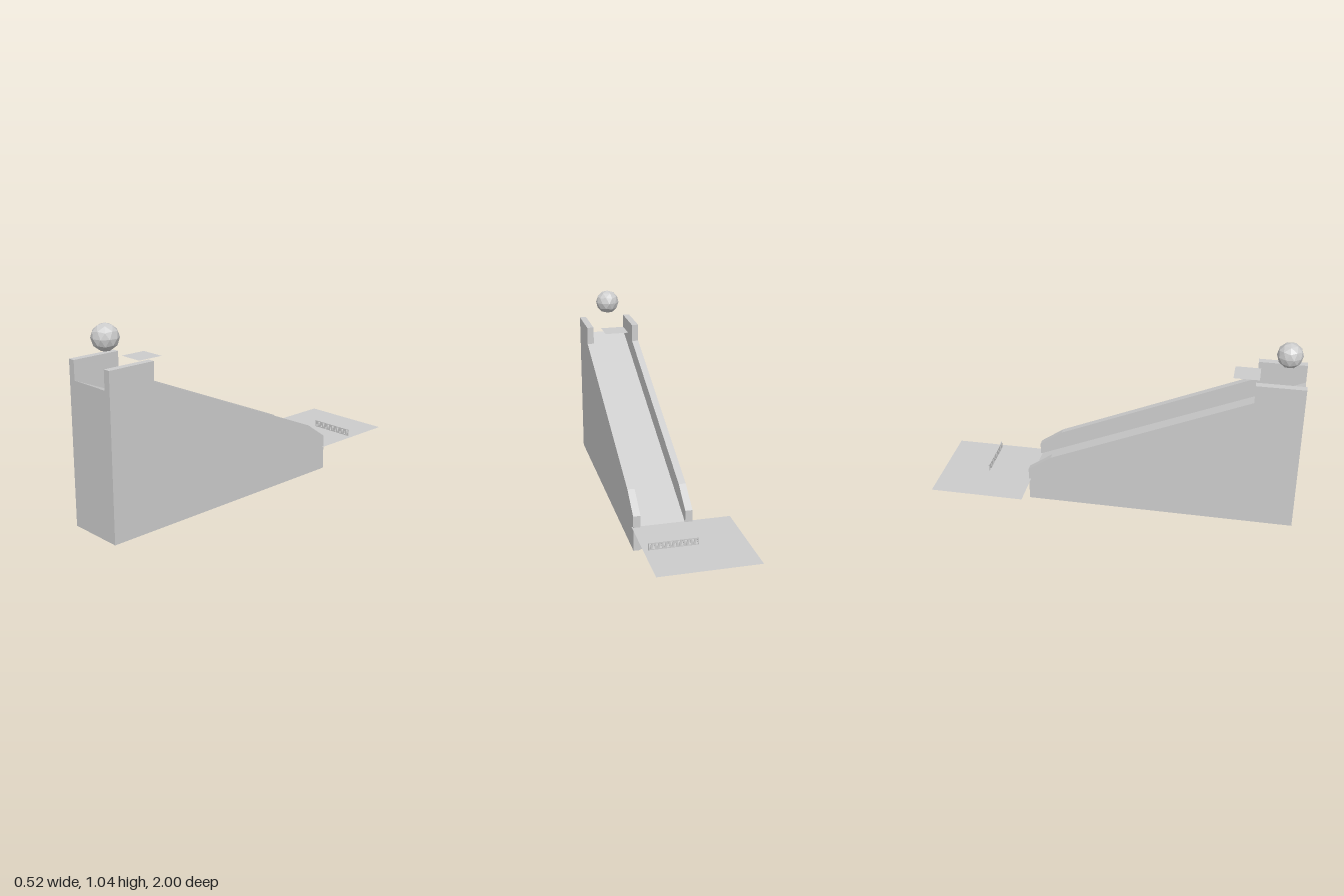
import * as THREE from 'three';

const CENTRE_X = 0.098;

// Extrude a side profile of [z, y] points across x0..x1
function sideProfile(points, x0, x1, material, name) {
  const shape = new THREE.Shape(points.map(([z, y]) => new THREE.Vector2(-z, y)));
  const geometry = new THREE.ExtrudeGeometry(shape, { depth: x1 - x0, bevelEnabled: false });
  geometry.rotateY(Math.PI / 2); // shape x -> -z, depth -> +x
  geometry.translate(x0, 0, 0);
  const mesh = new THREE.Mesh(geometry, material);
  mesh.name = name;
  return mesh;
}

// Flat horizontal sheet
function sheet(x0, x1, z0, z1, y, material, name) {
  const geometry = new THREE.PlaneGeometry(x1 - x0, z1 - z0).rotateX(-Math.PI / 2);
  const mesh = new THREE.Mesh(geometry, material);
  mesh.position.set((x0 + x1) / 2, y, (z0 + z1) / 2);
  mesh.name = name;
  return mesh;
}

export function createModel() {
  const model = new THREE.Group();
  model.name = 'ballRamp';
  const grey = new THREE.MeshStandardMaterial({ color: 0xcccccc, flatShading: true, side: THREE.DoubleSide });
  grey.name = 'lightGrey';

  // Sloping runway between the walls
  model.add(sideProfile([[1, 0], [1, 0.756], [-0.482, 0.131], [-0.482, 0]],
    CENTRE_X - 0.118, CENTRE_X + 0.118, grey, 'runway'));

  // Side walls with a raised block at the start and a bevelled end
  const wall = [[1, 0], [1, 0.856], [0.74, 0.856], [0.74, 0.756], [-0.36, 0.287], [-0.492, 0.195], [-0.492, 0]];
  for (const [name, side] of [['leftWall', 1], ['rightWall', -1]]) {
    const a = CENTRE_X + side * 0.118, b = CENTRE_X + side * 0.156;
    model.add(sideProfile(wall, Math.min(a, b), Math.max(a, b), grey, name));
  }

  // Landing sheet at the low end and a small floating sheet near the start
  model.add(sheet(-0.265, 0.26, -1, -0.48, 0.131, grey, 'landingSheet'));
  model.add(sheet(0.03, 0.166, 0.62, 0.757, 0.844, grey, 'startSheet'));

  // Faceted ball, one corner pointing up
  const ball = new THREE.Mesh(new THREE.IcosahedronGeometry(0.069, 1), grey);
  ball.rotation.z = Math.atan(2 / (1 + Math.sqrt(5)));
  ball.position.set(CENTRE_X, 0.97, 0.9);
  ball.name = 'ball';
  model.add(ball);

  // Thin lattice strip standing on the landing sheet
  const length = 0.255, height = 0.038, bays = 14, rim = 0.005;
  const strip = new THREE.Shape([[0, 0], [length, 0], [length, height], [0, height]]
    .map(([x, y]) => new THREE.Vector2(x, y)));
  const step = length / bays;
  for (let i = 0; i < bays; i++) {
    const x = i * step, up = i % 2 === 0;
    const base = up ? rim : height - rim, tip = up ? height - rim : rim;
    strip.holes.push(new THREE.Path([[x + 0.002, base], [x + step - 0.002, base], [x + step / 2, tip]]
      .map(([px, py]) => new THREE.Vector2(px, py))));
  }
  const lattice = new THREE.Mesh(new THREE.ExtrudeGeometry(strip, { depth: 0.006, bevelEnabled: false }), grey);
  lattice.position.set(-0.02, 0.131, -0.741);
  lattice.name = 'latticeStrip';
  model.add(lattice);

  return model;
}
